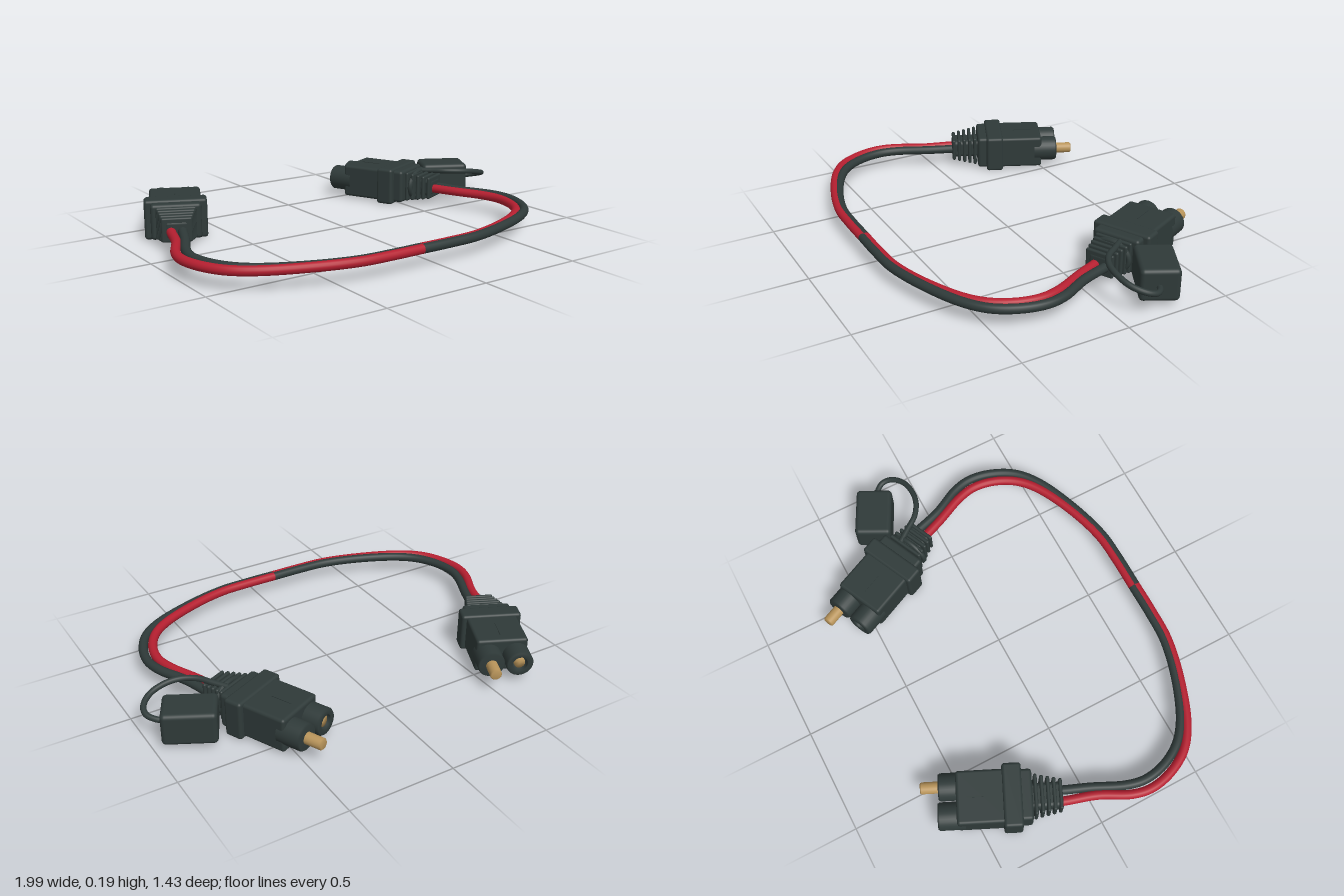
import * as THREE from 'three';
import { RoundedBoxGeometry } from 'three/addons/geometries/RoundedBoxGeometry.js';

const black = new THREE.MeshStandardMaterial({ color: 0x2f3a39 });
black.name = 'black rubber';
const red = new THREE.MeshStandardMaterial({ color: 0xb51f30 });
red.name = 'red cable';
const gold = new THREE.MeshStandardMaterial({ color: 0xb8945a });
gold.name = 'brass';

const MID = -0.09; // mirror line of the cable loop
const CABLE_Y = 0.085;

function add(parent, name, geometry, material) {
  const mesh = new THREE.Mesh(geometry, material);
  mesh.name = name;
  parent.add(mesh);
  return mesh;
}

// Rounded block spanning u0..u1 along the plug axis (forward is -z)
function block(parent, name, u0, u1, w, h, r) {
  const mesh = add(parent, name, new RoundedBoxGeometry(w, h, u1 - u0, 3, r), black);
  mesh.position.z = -(u0 + u1) / 2;
  return mesh;
}

// Turned part about the plug axis, profile given as [radius, u]
function turned(parent, name, profile, x, material) {
  const geometry = new THREE.LatheGeometry(profile.map(([r, u]) => new THREE.Vector2(r, u)), 32);
  geometry.rotateX(-Math.PI / 2);
  const mesh = add(parent, name, geometry, material);
  mesh.position.x = x;
  return mesh;
}

function plug(name, x, z, angle) {
  const g = new THREE.Group();
  g.name = name;

  // Ribbed strain relief, widening toward the body
  block(g, 'strainReliefCore', 0, 0.16, 0.115, 0.09, 0.02);
  for (let i = 0; i < 5; i++) {
    const u = 0.002 + i * 0.028;
    block(g, 'strainReliefRib', u, u + 0.017, 0.138 + i * 0.011, 0.112 + i * 0.009, 0.008);
  }

  // Collar, flange and body
  block(g, 'rearCollar', 0.137, 0.21, 0.23, 0.165, 0.015);
  block(g, 'flange', 0.183, 0.27, 0.288, 0.185, 0.014);
  block(g, 'body', 0.24, 0.478, 0.242, 0.164, 0.014);
  const ridge = add(g, 'topRidge', new THREE.BoxGeometry(0.006, 0.006, 0.1), black);
  ridge.position.set(0, 0.082, -0.38);

  // Barrel carrying the exposed pin
  turned(g, 'pinBarrel', [[0.063, 0.44], [0.063, 0.55], [0.057, 0.558], [0, 0.558]], 0.066, black);
  turned(g, 'pin', [[0.027, 0.54], [0.027, 0.634], [0.022, 0.64], [0, 0.64]], 0.066, gold);

  // Hollow barrel with a recessed contact
  turned(g, 'socketBarrel', [
    [0.063, 0.44], [0.063, 0.555], [0.057, 0.563], [0.036, 0.563], [0.034, 0.558], [0.034, 0.5], [0, 0.5],
  ], -0.066, black);
  turned(g, 'socketContact', [[0.026, 0.49], [0.026, 0.55], [0, 0.55]], -0.066, gold);

  g.position.set(x, 0.0925, z);
  g.rotation.y = angle;
  return g;
}

function tube(parent, name, points, radius, material, segments) {
  const curve = new THREE.CatmullRomCurve3(points.map((p) => new THREE.Vector3(...p)));
  return add(parent, name, new THREE.TubeGeometry(curve, segments, radius, 16), material);
}

export function createModel() {
  const model = new THREE.Group();
  model.name = 'jumperCable';

  // Two plugs at the ends
  const tilt = 0.434;
  model.add(plug('rightPlug', -0.82, -0.11, -tilt));
  const leftPlug = plug('leftPlug', 0.642, -0.087, tilt);
  model.add(leftPlug);

  // Half paths of the two wires as [x, z]; the other halves are mirrored with colours swapped
  const outer = [
    [-0.855, -0.16], [-0.843, -0.12], [-0.892, 0.03], [-0.962, 0.17], [-0.98, 0.26], [-0.96, 0.37],
    [-0.9, 0.48], [-0.8, 0.56], [-0.6, 0.645], [-0.4, 0.697], [-0.25, 0.705], [MID, 0.705],
  ];
  outer[0] = [-0.822, -0.165];
  const inner = [
    [-0.776, -0.145], [-0.797, -0.1], [-0.846, 0.02], [-0.914, 0.17], [-0.932, 0.26], [-0.914, 0.365],
    [-0.86, 0.465], [-0.775, 0.54], [-0.59, 0.628], [-0.4, 0.681], [-0.25, 0.69], [MID, 0.69],
  ];
  const wires = [['outerWire', outer, red, black], ['innerWire', inner, black, red]];
  for (const [name, path, rightColour, leftColour] of wires) {
    tube(model, name + 'Right', path.map(([x, z]) => [x, CABLE_Y, z]), 0.0215, rightColour, 90);
    tube(model, name + 'Left', path.map(([x, z]) => [2 * MID - x, CABLE_Y, z]), 0.0215, leftColour, 90);
  }

  // Dust cap hanging beside the left plug
  const cap = new THREE.Group();
  cap.name = 'dustCap';
  add(cap, 'capShell', new RoundedBoxGeometry(0.238, 0.152, 0.174, 4, 0.02), black);
  cap.position.set(0.826, 0.097, -0.257);
  cap.rotation.y = -0.48;
  model.add(cap);

  // Strap: a loop round the strain relief and a tether to the cap
  const loop = [];
  for (let i = 0; i < 16; i++) {
    const a = (i / 16) * Math.PI * 2;
    loop.push(new THREE.Vector3(Math.cos(a) * 0.092, Math.sin(a) * 0.07, -0.1));
  }
  const loopCurve = new THREE.CatmullRomCurve3(loop, true);
  add(leftPlug, 'strapLoop', new THREE.TubeGeometry(loopCurve, 48, 0.012, 10, true), black);
  tube(model, 'strapTether', [
    [0.62, 0.158, -0.21], [0.665, 0.162, -0.15], [0.71, 0.165, -0.09], [0.775, 0.163, -0.05], [0.845, 0.155, -0.04],
    [0.92, 0.138, -0.055], [0.97, 0.12, -0.1], [0.978, 0.106, -0.145], [0.95, 0.096, -0.185], [0.9, 0.09, -0.215],
  ], 0.0135, black, 60);

  return model;
}
